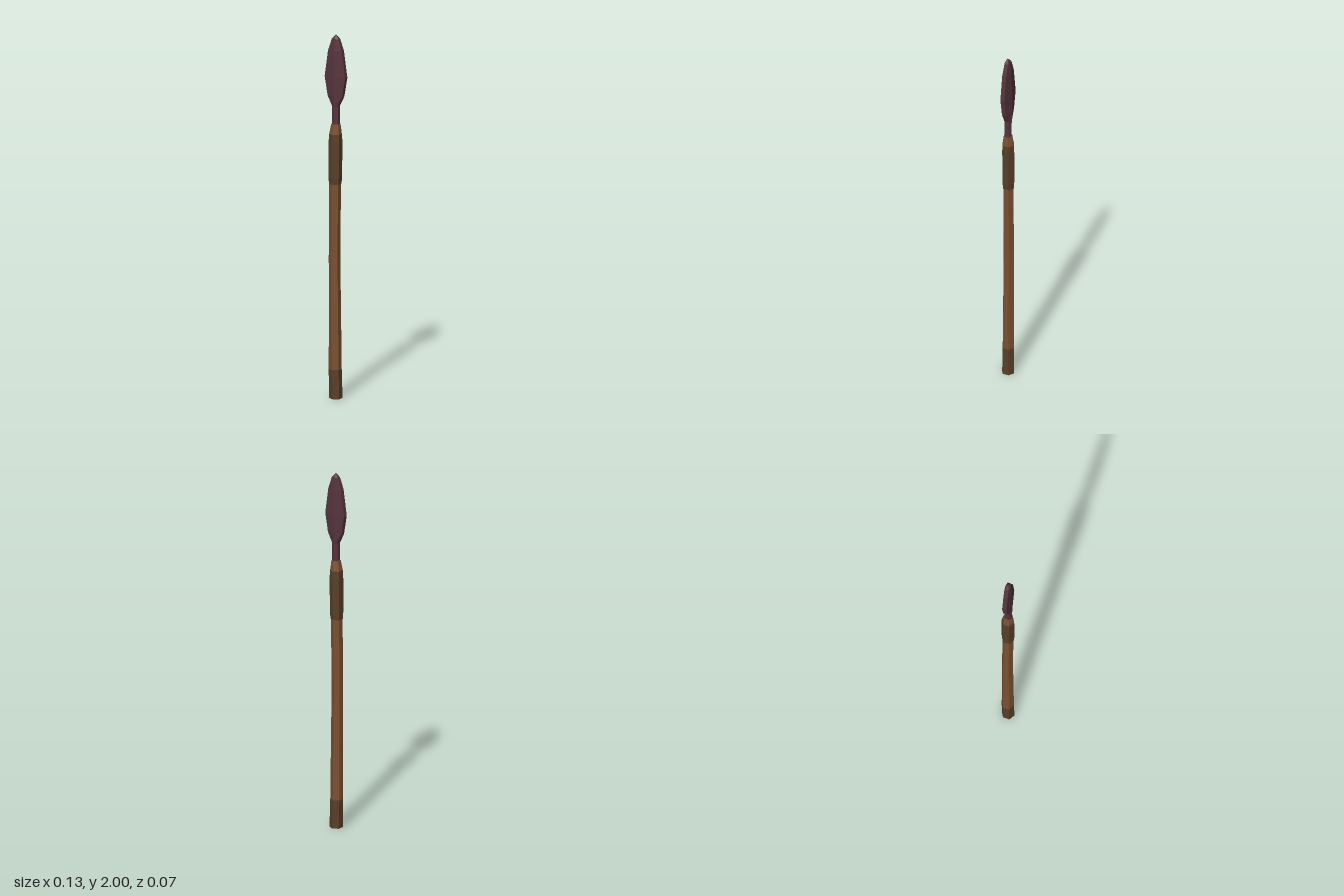
import * as THREE from 'three';

// Six-sided loft. Ring: [y, centre x, half width x, ridge half depth z, side half depth z]
function loft(name, color, rings) {
  const pos = [];
  const sections = rings.map(([y, cx, w, d, e]) => [
    [0, d], [w, e], [w, -e], [0, -d], [-w, -e], [-w, e],
  ].map(([x, z]) => [cx + x, y, z]));
  for (let r = 0; r < sections.length - 1; r++) {
    const a = sections[r], b = sections[r + 1];
    for (let i = 0; i < 6; i++) {
      const j = (i + 1) % 6;
      pos.push(...a[i], ...a[j], ...b[j], ...a[i], ...b[j], ...b[i]);
    }
  }
  // end caps
  const bottom = sections[0], top = sections[sections.length - 1];
  for (let i = 1; i < 5; i++) {
    pos.push(...bottom[0], ...bottom[i + 1], ...bottom[i]);
    pos.push(...top[0], ...top[i], ...top[i + 1]);
  }
  const geometry = new THREE.BufferGeometry();
  geometry.setAttribute('position', new THREE.Float32BufferAttribute(pos, 3));
  geometry.computeVertexNormals();
  const mesh = new THREE.Mesh(geometry, new THREE.MeshStandardMaterial({ color, flatShading: true }));
  mesh.name = name;
  return mesh;
}

// Regular hexagon ring with its corners at front and back
const hex = (y, cx, r) => [y, cx, r * 0.866, r, r / 2];

export function createModel() {
  const group = new THREE.Group();
  group.name = 'spear';
  const wood = 0x7a5030, wrap = 0x573f27, metal = 0x56343c;

  group.add(
    // dark butt at the foot
    loft('buttWrap', wrap, [hex(0, -0.001, 0.036), hex(0.16, -0.005, 0.035)]),
    // slightly crooked shaft
    loft('shaft', wood, [
      hex(0.16, -0.005, 0.035), hex(0.4, -0.006, 0.033), hex(0.78, -0.009, 0.031),
      hex(1.0, -0.007, 0.031), hex(1.18, -0.005, 0.032),
    ]),
    // thicker grip below the head
    loft('gripWrap', wrap, [
      hex(1.18, -0.005, 0.034), hex(1.22, -0.004, 0.036),
      hex(1.4, -0.003, 0.037), hex(1.455, -0.003, 0.035),
    ]),
    // tapered socket
    loft('shaftTip', wood, [hex(1.455, -0.003, 0.034), hex(1.51, -0.001, 0.025)]),
    // neck and leaf-shaped blade with a central ridge and blunt sides
    loft('blade', metal, [
      [1.5, 0, 0.018, 0.022, 0.012],
      [1.61, 0, 0.018, 0.023, 0.012],
      [1.665, 0, 0.045, 0.024, 0.012],
      [1.77, 0, 0.063, 0.025, 0.012],
      [1.915, 0, 0.042, 0.021, 0.012],
      [1.98, 0, 0.02, 0.015, 0.01],
      [2, 0, 0.004, 0.005, 0.003],
    ]),
  );
  return group;
}
